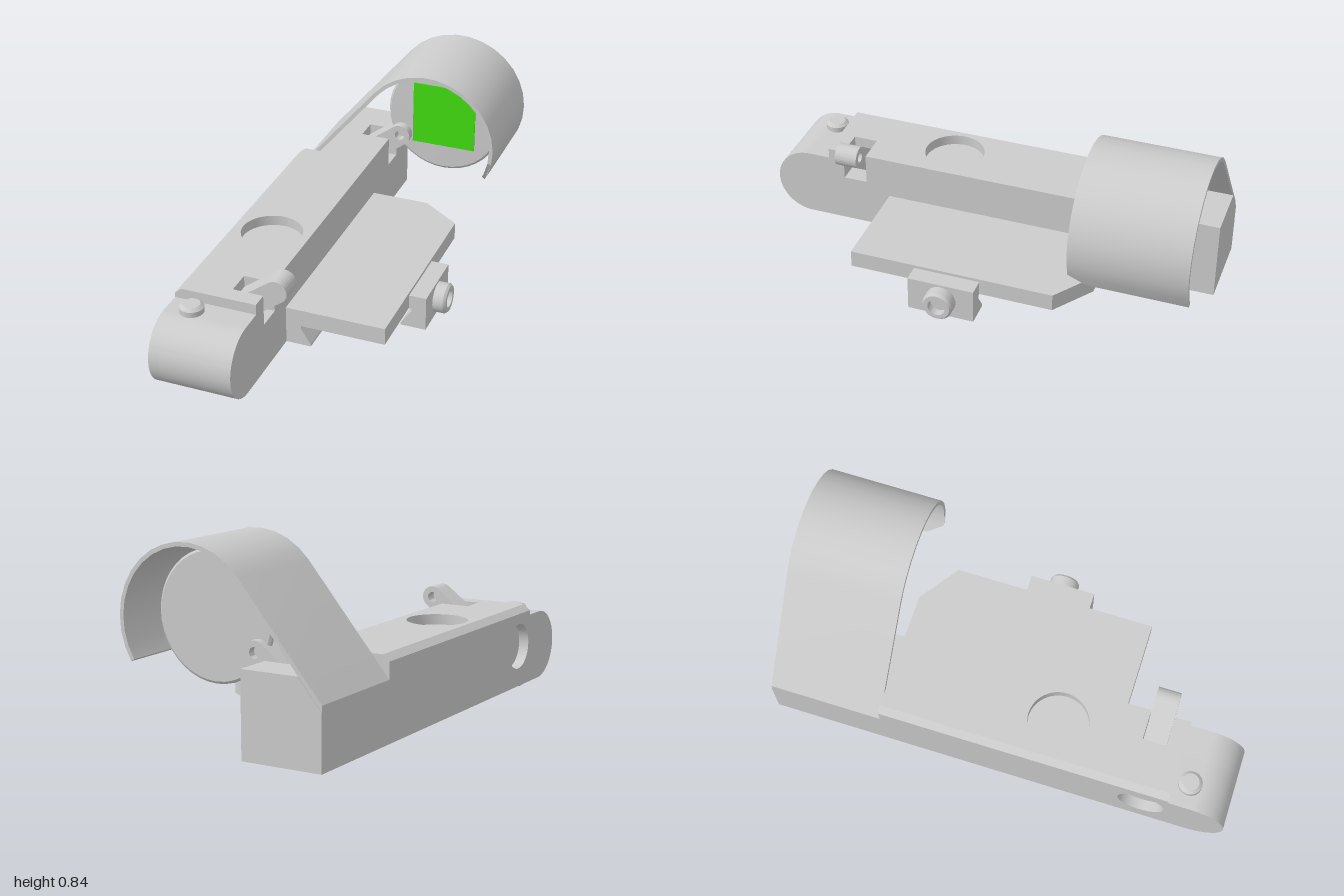
import * as THREE from 'three';
import { toCreasedNormals } from 'three/addons/utils/BufferGeometryUtils.js';

const grey = new THREE.MeshStandardMaterial({ color: 0xcccccc });
const green = new THREE.MeshStandardMaterial({ color: 0x40dd10 });

const poly = (pts) => new THREE.Shape(pts.map(([a, b]) => new THREE.Vector2(a, b)));
const hole = (shape, u, v, r) => {
  shape.holes.push(new THREE.Path().absarc(u, v, r, 0, Math.PI * 2, true));
  return shape;
};
const extrude = (shape, depth) =>
  new THREE.ExtrudeGeometry(shape, { depth, bevelEnabled: false, curveSegments: 24 });

// Extrusions between two positions along each axis
const alongZ = (shape, z0, z1) => extrude(shape, z1 - z0).translate(0, 0, z0);
const alongX = (shape, x0, x1) => extrude(shape, x1 - x0).rotateY(-Math.PI / 2).translate(x1, 0, 0); // shape is (z, y)
const alongY = (shape, y0, y1) => extrude(shape, y1 - y0).rotateX(-Math.PI / 2).translate(0, y0, 0); // shape is (x, -z)

export function createModel() {
  const model = new THREE.Group();
  const add = (name, geometry, material = grey, parent = model) => {
    const mesh = new THREE.Mesh(toCreasedNormals(geometry, 0.5), material);
    mesh.name = name;
    parent.add(mesh);
    return mesh;
  };

  const L = -0.455, R = -0.105, BOTTOM = 0.04, DECK = 0.345, TOP = 0.39;
  const SLOT_X = -0.235, SLOT_Y = 0.255;
  const frontSlot = [0.575, 0.68], rearSlot = [-0.84, -0.735];
  const REAR = -0.51, STEP = 0.75;

  // Main body: side outline with a rounded nose, in three layers across x
  const body = new THREE.Group();
  body.name = 'body';
  model.add(body);
  const r = (DECK - BOTTOM) / 2;
  const sideOutline = (notched) => {
    const s = new THREE.Shape();
    s.moveTo(REAR, BOTTOM);
    s.lineTo(1 - r, BOTTOM);
    s.absarc(1 - r, BOTTOM + r, r, -Math.PI / 2, Math.PI / 2, false);
    if (notched) {
      s.lineTo(frontSlot[1], DECK);
      s.lineTo(frontSlot[1], SLOT_Y);
      s.lineTo(frontSlot[0], SLOT_Y);
      s.lineTo(frontSlot[0], DECK);
    }
    s.lineTo(REAR, DECK);
    return s;
  };
  add('recessedSide', alongX(hole(sideOutline(false), 0.64, 0.22, 0.1), L, -0.41), grey, body);
  add('core', alongX(sideOutline(false), -0.41, SLOT_X), grey, body);
  add('slottedSide', alongX(sideOutline(true), SLOT_X, R), grey, body);

  // Top deck with the round recess and the front hinge slot
  const deck = poly([[-0.425, -STEP], [R, -STEP], [R, -frontSlot[1]], [SLOT_X, -frontSlot[1]],
    [SLOT_X, -frontSlot[0]], [R, -frontSlot[0]], [R, -REAR], [-0.425, -REAR]]);
  add('topDeck', alongY(hole(deck, -0.27, -0.22, 0.13), DECK, TOP), grey, body);
  add('chamferedEdge', alongZ(poly([[L, DECK], [-0.425, DECK], [-0.425, TOP], [L, 0.365]]), REAR, STEP), grey, body);

  // Rear block, sloped under the strap, with the rear hinge slot
  const rearProfile = (slot) => poly([[L, BOTTOM], [R, BOTTOM],
    ...(slot ? [[R, SLOT_Y], [SLOT_X, SLOT_Y], [SLOT_X, TOP]] : [[R, TOP]]), [-0.353, TOP], [L, 0.268]]);
  add('rearBlock', alongZ(rearProfile(false), -1, rearSlot[0]), grey, body);
  add('rearBlockSlot', alongZ(rearProfile(true), ...rearSlot), grey, body);
  add('rearBlockFront', alongZ(rearProfile(false), rearSlot[1], REAR), grey, body);

  // Vertical pin through the nose
  const pin = new THREE.LatheGeometry([[0, 0], [0.036, 0], [0.05, 0.012], [0.05, 0.368], [0.036, 0.38], [0, 0.38]]
    .map(([a, b]) => new THREE.Vector2(a, b)), 32);
  add('nosePin', pin.translate(-0.35, 0, 0.815));

  // Hinge arms with rounded, bored ends
  const tip = new THREE.Vector2(-0.055, 0.415), root = new THREE.Vector2(-0.2, 0.307), ar = 0.048;
  const tilt = Math.atan2(tip.y - root.y, tip.x - root.x);
  const armShape = () => {
    const s = new THREE.Shape();
    s.absarc(tip.x, tip.y, ar, tilt - Math.PI / 2, tilt + Math.PI / 2, false);
    s.absarc(root.x, root.y, ar, tilt + Math.PI / 2, tilt + Math.PI * 1.5, false);
    return s;
  };
  const bored = () => hole(armShape(), tip.x, tip.y, 0.022);
  add('frontArm', alongZ(armShape(), 0.63, 0.677));
  add('frontArmBore', alongZ(bored(), 0.578, 0.63));
  add('rearArm', alongZ(bored(), -0.837, -0.738));

  // Round lens with a soft rim, and the green target square on it
  const cx = 0.145, cy = 0.53;
  const lens = new THREE.LatheGeometry([[0, -0.015], [0.255, -0.015], [0.265, -0.008], [0.265, 0.004],
    [0.255, 0.011], [0.13, 0.014], [0, 0.015]].map(([a, b]) => new THREE.Vector2(a, b)), 40);
  add('lens', lens.rotateX(Math.PI / 2).translate(cx, cy, -0.79));
  add('targetSquare', new THREE.BoxGeometry(0.293, 0.293, 0.006).translate(cx, cy, -0.774), green);

  // Curved hood strap: straight run up from the body, then round the lens
  const a0 = THREE.MathUtils.degToRad(140.2), a1 = THREE.MathUtils.degToRad(-33);
  const arc = (rad) => Array.from({ length: 16 }, (_, i) => {
    const a = a0 + (a1 - a0) * i / 15;
    return [cx + rad * Math.cos(a), cy + rad * Math.sin(a)];
  });
  const strap = alongZ(poly([[L, 0.268], [L, 0.294], ...arc(0.31), ...arc(0.293).reverse()]), -0.995, REAR);
  const p = strap.attributes.position;
  for (let i = 0; i < p.count; i++) { // clipped front corner at the free end
    if (p.getX(i) > 0.38 && p.getY(i) < 0.38 && p.getZ(i) > -0.6) p.setZ(i, -0.58);
  }
  strap.computeVertexNormals();
  add('hoodStrap', strap);

  // Mounting plate with one clipped corner
  add('mountPlate', alongY(poly([[R, -0.468], [0.325, -0.468], [0.325, 0.42], [0.15, 0.545], [R, 0.545]]), 0.13, 0.205));

  // Fixed and sliding dovetail jaws
  add('fixedJaw', alongZ(poly([[R, BOTTOM], [0.003, BOTTOM], [0.003, 0.05], [-0.04, 0.117], [-0.04, 0.13], [R, 0.13]]),
    -0.545, 0.468));
  add('slidingJaw', alongZ(poly([[0.29, BOTTOM], [0.4, BOTTOM], [0.4, 0.192], [0.325, 0.192], [0.325, 0.13],
    [0.337, 0.13], [0.337, 0.117], [0.29, 0.05]]), -0.105, 0.183));

  // Clamp screw with a round socket
  const screw = new THREE.LatheGeometry([[0.065, 0], [0.065, 0.045], [0.057, 0.055], [0.038, 0.055], [0.038, 0.02], [0, 0.02]]
    .map(([a, b]) => new THREE.Vector2(a, b)), 32);
  add('clampScrew', screw.rotateZ(-Math.PI / 2).translate(0.4, 0.118, 0.037));

  return model;
}
